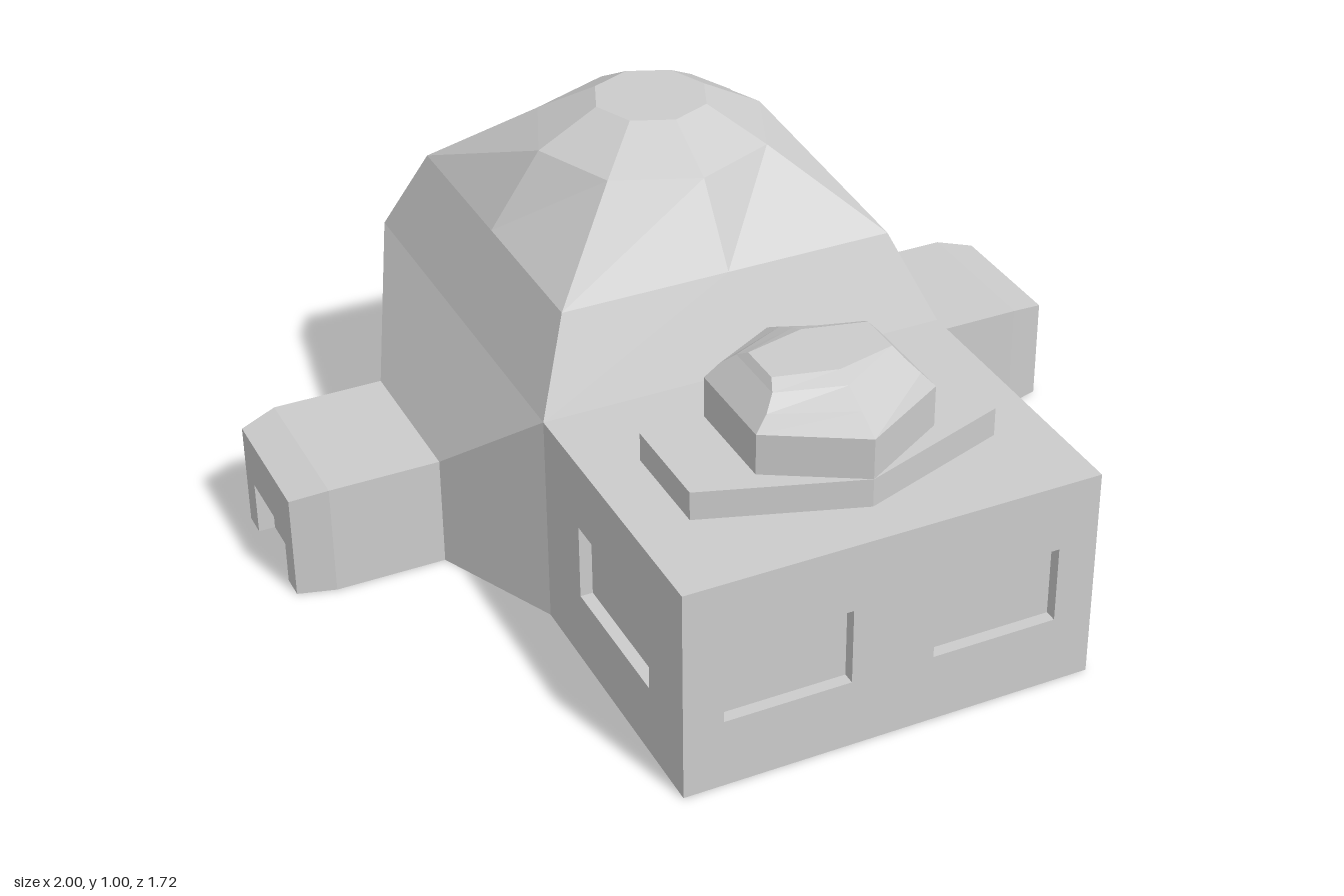
import * as THREE from 'three';

const mat = new THREE.MeshStandardMaterial({ color: 0xcccccc, flatShading: true });
const DOME_Z = -0.357, EAVE = 0.53, HALF = 0.5025, REVEAL = 0.03;

function add(parent, geo, name) {
  const m = new THREE.Mesh(geo, mat);
  m.name = name;
  parent.add(m);
  return m;
}

// Flat polygons, corners counter-clockwise from outside, cut into fans
function polygons(polys) {
  const pos = [];
  for (const p of polys)
    for (let i = 1; i < p.length - 1; i++) pos.push(...p[0], ...p[i], ...p[i + 1]);
  const g = new THREE.BufferGeometry();
  g.setAttribute('position', new THREE.Float32BufferAttribute(pos, 3));
  g.computeVertexNormals();
  return g;
}

// Skin between closed rings, with an optional cap on the last ring
function loft(rings, cap) {
  const polys = [];
  for (let r = 0; r < rings.length - 1; r++) {
    const a = rings[r], b = rings[r + 1], n = a.length;
    for (let i = 0; i < n; i++) {
      const j = (i + 1) % n;
      polys.push([a[i], a[j], b[j], b[i]]);
    }
  }
  if (cap) polys.push(rings[rings.length - 1]);
  return polygons(polys);
}

const toShape = pts => new THREE.Shape(pts.map(p => new THREE.Vector2(...p)));
const rect = (x0, x1, y0, y1) => [[x0, y0], [x1, y0], [x1, y1], [x0, y1]];

// Wall facing +z with openings, backed by a recessed pane
function wall(parent, name, outline, holes, w, h, depth = REVEAL) {
  const g = new THREE.Group();
  g.name = name;
  const s = toShape(outline);
  for (const hole of holes) s.holes.push(toShape(hole));
  const geo = new THREE.ExtrudeGeometry(s, { depth, bevelEnabled: false });
  add(g, geo.translate(0, 0, -depth), name + 'Panel');
  add(g, new THREE.PlaneGeometry(w, h).translate(0, h / 2, -depth), name + 'Pane');
  parent.add(g);
  return g;
}

// Elongated hexagon: half width x, half length of the side edge zs, tip distance zt
const hexRing = (y, x, zs, zt) =>
  [[x, y, zs], [x, y, -zs], [0, y, -zt], [-x, y, -zs], [-x, y, zs], [0, y, zt]];

function frontHall() {
  const g = new THREE.Group();
  g.name = 'frontHall';
  add(g, new THREE.BoxGeometry(0.94, EAVE, 0.685).translate(0, EAVE / 2, 0.4875), 'hallCore');
  wall(g, 'frontWall', rect(-0.5, 0.5, 0, EAVE),
    [rect(-0.405, -0.1, 0.172, 0.362), rect(0.1, 0.405, 0.172, 0.362)], 1, EAVE).position.z = 0.86;
  for (const s of [1, -1]) {
    const c = -s * 0.0225;
    const side = wall(g, s > 0 ? 'leftWall' : 'rightWall', rect(-0.3425, 0.3425, 0, EAVE),
      [rect(c - 0.182, c + 0.182, 0.175, 0.362)], 0.685, EAVE);
    side.position.set(s * 0.5, 0, 0.4875);
    side.rotation.y = s * Math.PI / 2;
  }
  return g;
}

function turret() {
  const g = new THREE.Group();
  g.name = 'turret';
  add(g, loft([hexRing(EAVE, 0.37, 0.125, 0.25), hexRing(0.6, 0.37, 0.125, 0.25)], true), 'turretPlinth');
  add(g, loft([
    hexRing(0.6, 0.216, 0.125, 0.25),
    hexRing(0.7, 0.216, 0.125, 0.25),
    hexRing(0.735, 0.185, 0.112, 0.19),
    hexRing(0.765, 0.158, 0.085, 0.13),
    hexRing(0.783, 0.145, 0.055, 0.09),
  ], true), 'turretCap');
  g.position.z = 0.5;
  return g;
}

// Dome: square rings at the bottom, octagonal rings at the top
function domeRing(y, r, square) {
  return Array.from({ length: 8 }, (_, i) => {
    const c = Math.cos(i * Math.PI / 4), s = Math.sin(i * Math.PI / 4);
    const k = square ? r / Math.max(Math.abs(c), Math.abs(s)) : r;
    return [c * k, y, -s * k];
  });
}

// Side wing: sloping shoulder, corner walls and an entrance tunnel with a doorway
function wing(name) {
  const g = new THREE.Group();
  g.name = name;
  const X = 0.64, T = 0.195, H = 0.28;
  add(g, polygons([
    [[0.5, 0, HALF], [X, 0, T], [X, H, T], [0.5, EAVE, HALF]],
    [[X, 0, -T], [0.5, 0, -HALF], [0.5, EAVE, -HALF], [X, H, -T]],
    [[X, H, T], [X, H, -T], [0.5, EAVE, -HALF], [0.5, EAVE, HALF]],
  ]), 'shoulder');
  const ring = (x, h, z) => [[x, 0, z], [x, 0, -z], [x, h, -z], [x, h, z]];
  add(g, loft([ring(X, H, T), ring(0.91, H, T), ring(1, 0.26, 0.17)]), 'tunnel');
  const end = wall(g, 'doorway', [
    [-0.17, 0], [-0.11, 0], [-0.11, 0.135], [0.11, 0.135],
    [0.11, 0], [0.17, 0], [0.17, 0.26], [-0.17, 0.26],
  ], [], 0.34, 0.26, 0.04);
  end.position.x = 1;
  end.rotation.y = Math.PI / 2;
  return g;
}

function domeHall() {
  const g = new THREE.Group();
  g.name = 'domeHall';
  add(g, loft([
    domeRing(EAVE, 0.5, true), domeRing(0.74, 0.41, true),
    domeRing(0.92, 0.285, false), domeRing(1, 0.138, false),
  ], true), 'dome').scale.z = 1.005;
  const left = wing('leftWing'), right = wing('rightWing');
  right.rotation.y = Math.PI;
  g.add(left, right);
  const back = wall(g, 'backWall', rect(-0.5, 0.5, 0, EAVE),
    [rect(-0.345, 0.345, 0.175, 0.365)], 1, EAVE);
  back.position.z = -HALF;
  back.rotation.y = Math.PI;
  add(g, polygons([[
    [0.5, 0, HALF], [-0.5, 0, HALF], [-0.64, 0, 0.195], [-0.64, 0, -0.195],
    [-0.5, 0, -HALF], [0.5, 0, -HALF], [0.64, 0, -0.195], [0.64, 0, 0.195],
  ]]), 'floor');
  g.position.z = DOME_Z;
  return g;
}

export function createModel() {
  const model = new THREE.Group();
  model.name = 'domedBuilding';
  model.add(frontHall(), turret(), domeHall());
  return model;
}
